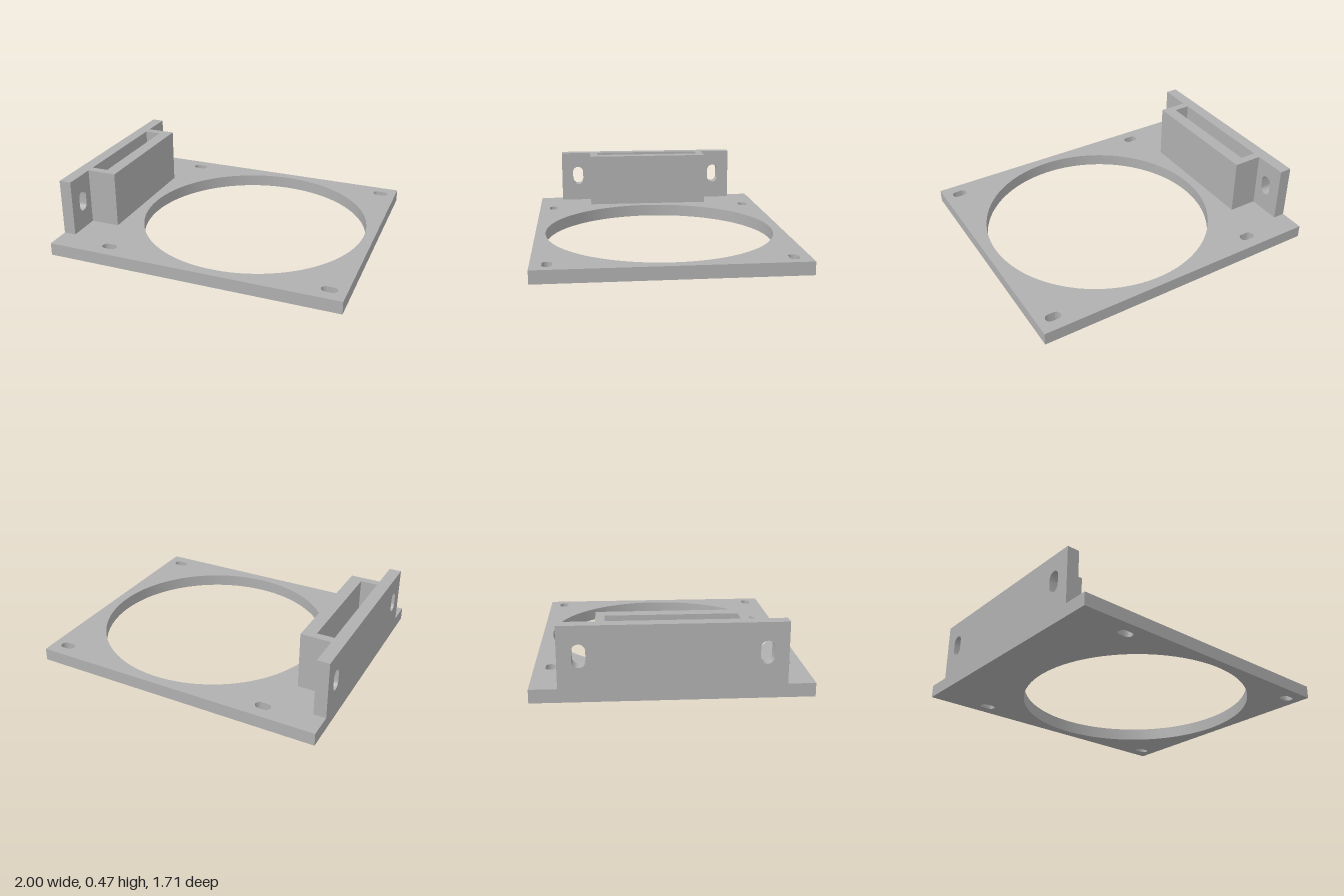
import * as THREE from 'three';
import { toCreasedNormals } from 'three/addons/utils/BufferGeometryUtils.js';

const PLATE_T = 0.086, TOP = 0.472;

// Closed outline through a list of corners
const outline = (pts) => new THREE.Shape(pts.map(([x, y]) => new THREE.Vector2(x, y)));
const rect = (x0, y0, x1, y1) => outline([[x0, y0], [x1, y0], [x1, y1], [x0, y1]]);

// Rounded slot; len runs along x, or along y when upright
function slot(cx, cy, len, width, upright = false) {
  const r = width / 2, d = len / 2 - r, p = new THREE.Path();
  const a = upright ? Math.PI / 2 : 0;
  const dx = upright ? 0 : d, dy = upright ? d : 0;
  p.absarc(cx + dx, cy + dy, r, a - Math.PI / 2, a + Math.PI / 2, false);
  p.absarc(cx - dx, cy - dy, r, a + Math.PI / 2, a + Math.PI * 1.5, false);
  p.closePath();
  return p;
}

function extrude(shape, depth, curveSegments) {
  const geo = new THREE.ExtrudeGeometry(shape, { depth, bevelEnabled: false, curveSegments });
  return toCreasedNormals(geo, 0.5);
}

export function createModel() {
  const group = new THREE.Group();
  group.name = 'fanMountBracket';
  const grey = new THREE.MeshStandardMaterial({ color: 0xb0b0b0 });
  grey.name = 'grey plastic';

  const add = (name, geo) => {
    const mesh = new THREE.Mesh(geo, grey);
    mesh.name = name;
    group.add(mesh);
  };

  // Base plate with the large round opening and four corner slots
  const plate = rect(-1, -0.857, 1, 0.857);
  plate.holes.push(new THREE.Path().absarc(0.141, 0, 0.787, 0, Math.PI * 2, false));
  for (const x of [-0.611, 0.889])
    for (const z of [-0.752, 0.752]) plate.holes.push(slot(x, z, 0.103, 0.063));
  add('basePlate', extrude(plate, PLATE_T, 64).rotateX(-Math.PI / 2));

  // Upright flange along the right edge with two upright slots
  const flange = rect(-0.686, PLATE_T, 0.686, TOP);
  for (const z of [-0.557, 0.557]) flange.holes.push(slot(z, 0.286, 0.144, 0.083, true));
  add('mountingFlange', extrude(flange, 0.083, 16).rotateY(Math.PI / 2).translate(-1, 0, 0));

  // U-shaped wall that closes an open-topped pocket against the flange
  const xi = -0.917, xp = -0.802, xo = -0.715, zi = 0.402, zo = 0.457;
  const wall = outline([[xi, -zo], [xo, -zo], [xo, zo], [xi, zo],
    [xi, zi], [xp, zi], [xp, -zi], [xi, -zi]]);
  add('pocketWall', extrude(wall, TOP - PLATE_T, 1).rotateX(-Math.PI / 2).translate(0, PLATE_T, 0));

  return group;
}
